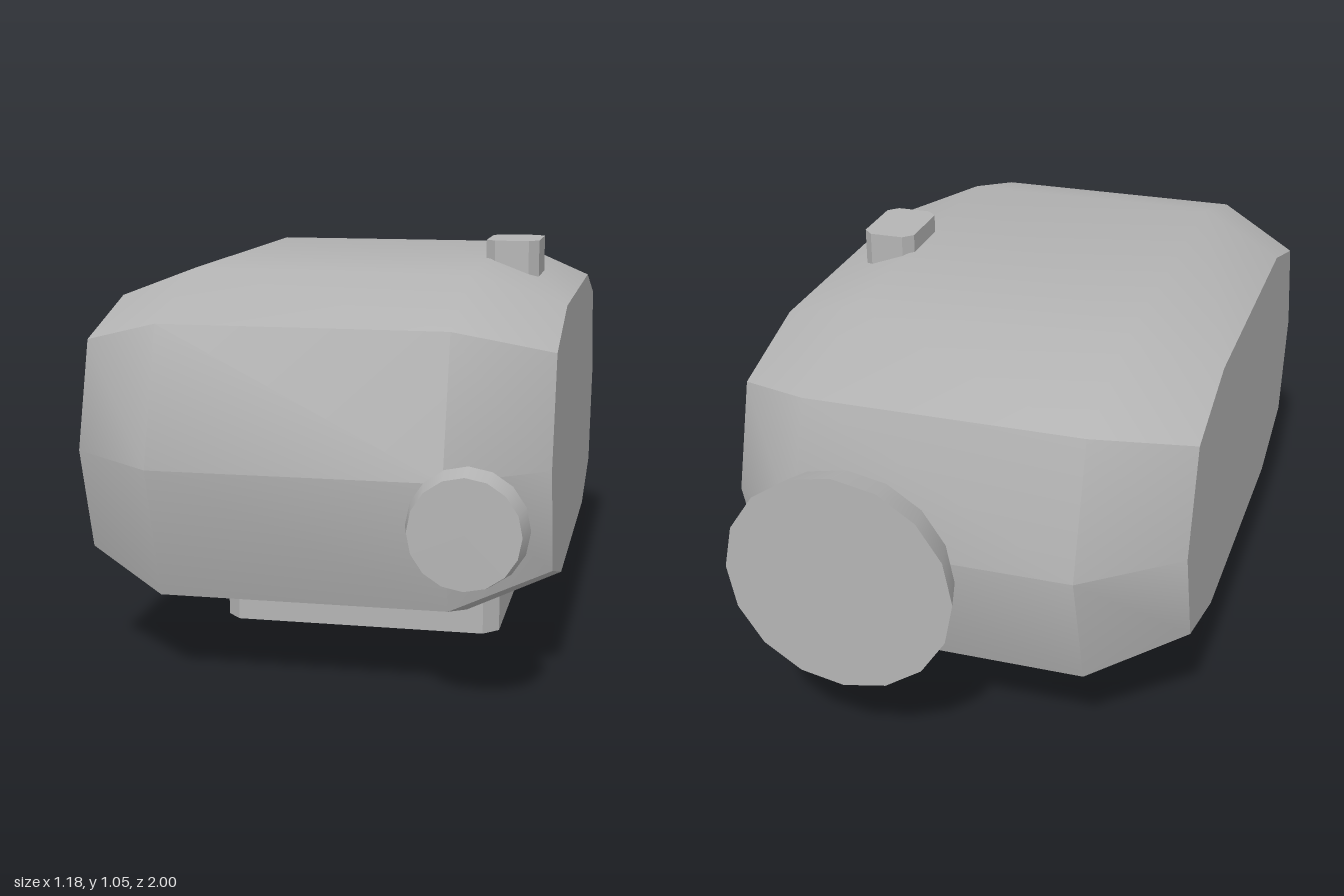
import * as THREE from 'three';
import { toCreasedNormals } from 'three/addons/utils/BufferGeometryUtils.js';

const grey = new THREE.MeshStandardMaterial({ color: 0xb4b4b4 });
grey.name = 'plain grey';

const CREASE = 0.75;

function part(name, geometry, x, y, z) {
  const mesh = new THREE.Mesh(geometry, grey);
  mesh.name = name;
  mesh.position.set(x, y, z);
  return mesh;
}

// Faceted hull: one ten-sided profile, full in the middle and shrunk at both ends.
function hullGeometry() {
  const profile = [ // [z, y] around the hull's centre
    [0.48, 0.438], [0.82, 0.337], [0.923, 0], [0.82, -0.337], [0.48, -0.438],
    [-0.48, -0.438], [-0.82, -0.337], [-0.923, 0], [-0.82, 0.337], [-0.48, 0.438],
  ];
  const sections = [[-0.592, 0.8], [-0.358, 1], [0.358, 1], [0.592, 0.8]]; // [x, scale]
  const n = profile.length;
  const positions = [];
  const index = [];
  for (const [x, s] of sections) {
    for (const [z, y] of profile) positions.push(x, y * s, z * s);
  }
  for (let k = 0; k < sections.length - 1; k++) {
    for (let i = 0; i < n; i++) {
      const a = k * n + i;
      const b = k * n + (i + 1) % n;
      index.push(a, b, b + n, a, b + n, a + n);
    }
  }
  // End caps
  const last = (sections.length - 1) * n;
  for (let i = 1; i < n - 1; i++) {
    index.push(0, i + 1, i);
    index.push(last, last + i, last + i + 1);
  }
  const geometry = new THREE.BufferGeometry();
  geometry.setAttribute('position', new THREE.Float32BufferAttribute(positions, 3));
  geometry.setIndex(index);
  return toCreasedNormals(geometry, CREASE);
}

// Upright block with chamfered vertical edges, its bottom at y = 0.
function chamferedBlock(width, height, depth, c) {
  const w = width / 2, d = depth / 2;
  const outline = new THREE.Shape([
    [w, -d + c], [w, d - c], [w - c, d], [-w + c, d],
    [-w, d - c], [-w, -d + c], [-w + c, -d], [w - c, -d],
  ].map(([x, y]) => new THREE.Vector2(x, y)));
  return new THREE.ExtrudeGeometry(outline, { depth: height, bevelEnabled: false }).rotateX(-Math.PI / 2);
}

// Tapered sixteen-sided disc along z.
function disc(frontRadius, backRadius, depth) {
  return new THREE.CylinderGeometry(frontRadius, backRadius, depth, 16).rotateX(Math.PI / 2);
}

export function createModel() {
  const model = new THREE.Group();
  model.name = 'model';
  model.add(
    part('body', hullGeometry(), 0, 0.565, 0.0175),
    part('base', chamferedBlock(0.766, 0.13, 0.585, 0.04), 0.033, 0, 0.0175),
    part('topButton', chamferedBlock(0.144, 0.098, 0.214, 0.026), 0.417, 0.955, 0.0125),
    part('frontDisc', disc(0.133, 0.146, 0.062), 0.417, 0.463, 0.969),
    part('backDisc', disc(0.267, 0.295, 0.094), 0.205, 0.515, -0.953),
  );
  return model;
}
